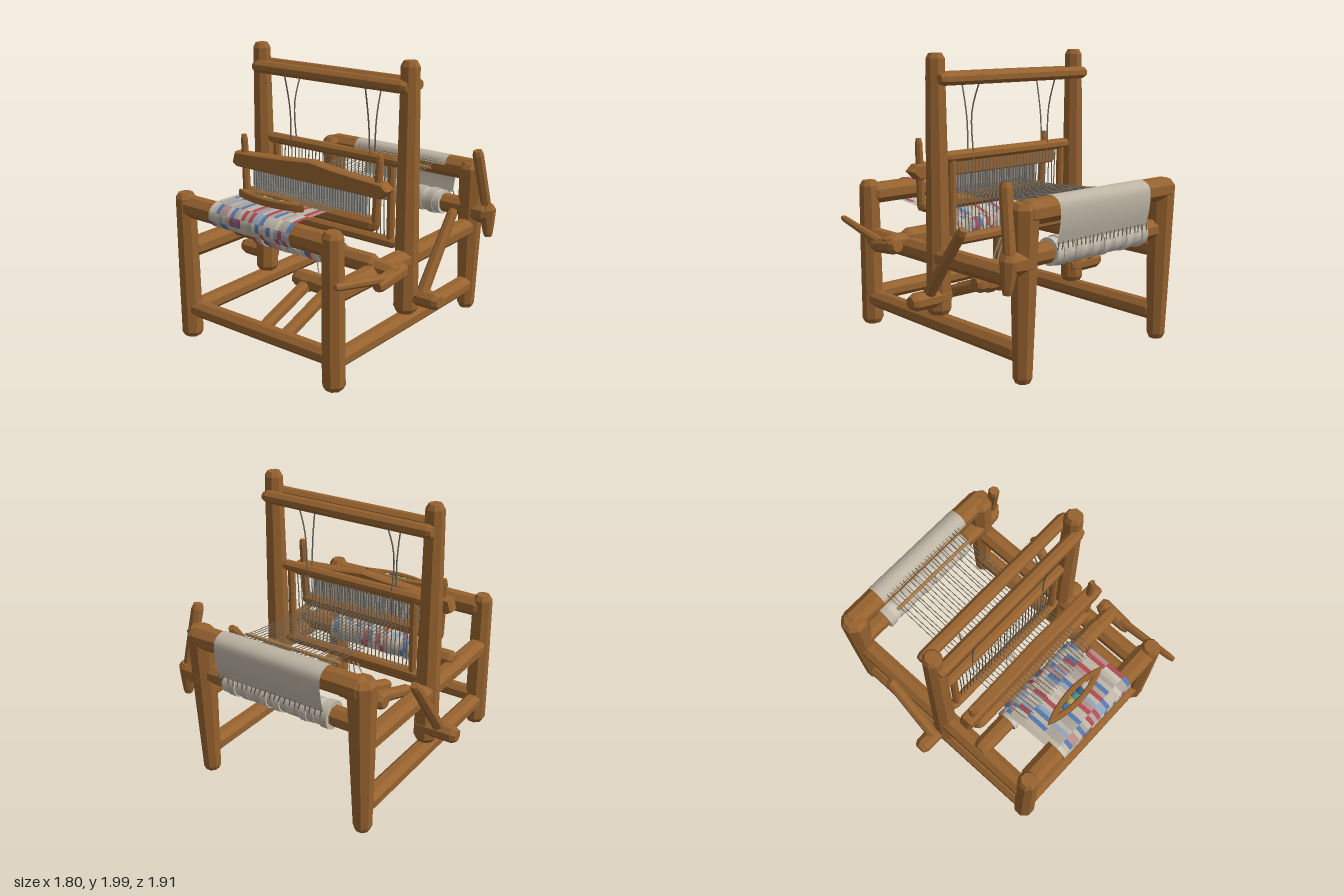
import * as THREE from 'three';

const V = (x, y, z) => new THREE.Vector3(x, y, z);
const mat = (color, extra = {}) => new THREE.MeshStandardMaterial({ color, flatShading: true, ...extra });
const thin = (color) => mat(color, { side: THREE.DoubleSide, flatShading: false });
const WOOD = mat(0x96622f);
const WOOD_PALE = mat(0xa87a48);
const CREAM = thin(0xbdb4a4);
const WARP = mat(0x6f675a);
const CLOTH = [CREAM, CREAM, thin(0xc9c1b4), thin(0xa9a298), CREAM,
  thin(0xb04a52), thin(0xb58a86), thin(0x5578ad), thin(0x93a2b8)];

export function createModel() {
  const root = new THREE.Group();
  let seed = 11;
  const rnd = () => (seed = (seed * 16807) % 2147483647) / 2147483647;
  const pick = () => CLOTH[Math.floor(rnd() * CLOTH.length)];

  const add = (name, geo, material, parent = root) => {
    const m = new THREE.Mesh(geo, material);
    m.name = name;
    parent.add(m);
    return m;
  };
  const group = (name) => {
    const g = new THREE.Group();
    g.name = name;
    root.add(g);
    return g;
  };

  // Eight-sided hewn timber with chamfered ends, from a to b
  const log = (name, a, b, r1, r2 = r1, parent = root, material = WOOD, sides = 8) => {
    const L = a.distanceTo(b), c = Math.min(0.035, L * 0.2), k = 1 / Math.cos(Math.PI / sides);
    const pts = [[0, 0], [r1 * 0.75, 0], [r1, c], [(r1 + r2) * 0.51, L * 0.5], [r2, L - c], [r2 * 0.7, L], [0, L]]
      .map(([r, y]) => new THREE.Vector2(r * k, y));
    const m = add(name, new THREE.LatheGeometry(pts, sides, Math.PI / sides), material, parent);
    m.position.copy(a);
    m.quaternion.setFromUnitVectors(V(0, 1, 0), b.clone().sub(a).normalize());
    return m;
  };
  const barX = (name, x, y, z, r, parent) => log(name, V(-x, y, z), V(x, y, z), r, r, parent);

  // Thin cord through a few points
  const cord = (name, pts, r, parent, material = WARP) =>
    add(name, new THREE.TubeGeometry(new THREE.CatmullRomCurve3(pts, false, 'centripetal'), pts.length * 3, r, 3), material, parent);

  // Strip of cloth of width w following [z, y] points
  const ribbon = (name, pts, x, w, material, parent) => {
    const g = new THREE.PlaneGeometry(w, 1, 1, pts.length - 1), p = g.attributes.position;
    for (let i = 0; i < p.count; i++) {
      const q = pts[Math.floor(i / 2)];
      p.setXYZ(i, x + p.getX(i), q.y, q.x);
    }
    g.computeVertexNormals();
    add(name, g, material, parent);
  };
  const path = (list, n) => new THREE.SplineCurve(list.map(([z, y]) => new THREE.Vector2(z, y))).getPoints(n);

  // Frame: posts, rails, pegs and heddle levers on both sides
  for (const s of [-1, 1]) {
    const x = 0.64 * s;
    log('frontPost', V(x, 0.01, 0.79), V(x, 1.07, 0.8), 0.073, 0.066);
    log('backPost', V(x, 0.01, -0.835), V(x, 1.14, -0.85), 0.06, 0.09);
    log('tallPost', V(x, 0.26, -0.01), V(x, 2, 0), 0.08, 0.06);
    log('lowerSideRail', V(x, 0.2, 0.78), V(x, 0.2, -0.82), 0.058, 0.064);
    log('middleSideRail', V(x, 0.66, 0.78), V(x, 0.66, -0.82), 0.066);
    log('sidePeg', V(0.58 * s, 0.385, -0.035), V(0.9 * s, 0.385, -0.035), 0.057);
    log('sideLever', V(0.755 * s, 0.36, 0.0), V(0.755 * s, 0.92, -0.41), 0.04, 0.034);
  }
  barX('frontLowerRail', 0.64, 0.225, 0.79, 0.056);
  barX('topBar', 0.66, 1.835, 0.055, 0.042);
  barX('topBar', 0.67, 1.835, -0.08, 0.042);

  // Front beam, cloth beam, back beam and warp beam
  barX('frontBeam', 0.64, 0.975, 0.79, 0.072);
  barX('clothBeam', 0.66, 0.72, 0.36, 0.062);
  barX('backBeam', 0.68, 1.08, -0.87, 0.075);
  barX('warpBeam', 0.68, 0.8, -0.83, 0.065);

  // Brake levers on the left side
  const brake = group('brakeLevers');
  log('clothBeamPin', V(0.6, 0.7, 0.36), V(0.82, 0.7, 0.36), 0.06, 0.05, brake);
  log('clothBeamHub', V(0.785, 0.66, 0.54), V(0.785, 0.7, 0.25), 0.045, 0.055, brake);
  log('clothBeamLever', V(0.775, 0.79, 0.95), V(0.785, 0.67, 0.36), 0.022, 0.032, brake);
  log('warpBeamPin', V(0.6, 0.78, -0.85), V(0.8, 0.78, -0.85), 0.08, 0.07, brake);
  log('warpBeamHub', V(0.79, 0.6, -0.86), V(0.77, 0.84, -0.86), 0.035, 0.06, brake);
  log('warpBeamLever', V(0.72, 1.26, -0.77), V(0.78, 0.7, -0.88), 0.04, 0.035, brake);

  // Woven cloth: striped strips over the front beam, down to the cloth roll
  const cloth = group('wovenCloth');
  const clothPath = path([[0.5, 1.058], [0.66, 1.06], [0.8, 1.058], [0.865, 1.01], [0.868, 0.95],
    [0.82, 0.895], [0.72, 0.88], [0.5, 0.85], [0.36, 0.807]], 32);
  const N = 22, W = 0.7 / N;
  for (let i = 0; i < N; i++) {
    const x = -0.35 + W * (i + 0.5);
    for (let j = 0; j < 32; j += 4) ribbon('clothStripe', clothPath.slice(j, j + 5), x, W, pick(), cloth);
    const r = 0.078 + rnd() * 0.01;
    for (let j = 0; j < 6; j++) {
      const wrap = add('clothRollStripe', new THREE.CylinderGeometry(r, r, W * 1.08, 4, 1, false, j * Math.PI / 3, Math.PI / 3), pick(), cloth);
      wrap.rotation.z = Math.PI / 2;
      wrap.position.set(x * 1.06, 0.72, 0.36);
    }
  }

  // Plain warp sheet over the back beam and the wound warp below it
  const back = group('backWarpSheet');
  ribbon('warpSheet', path([[-0.79, 1.1], [-0.82, 1.15], [-0.88, 1.163], [-0.94, 1.13], [-0.955, 1.06],
    [-0.945, 0.96], [-0.92, 0.86]], 24), 0.02, 0.84, CREAM, back);
  for (let i = 0; i < 16; i++) {
    const r = 0.086 + rnd() * 0.012;
    const w = add('woundWarp', new THREE.CylinderGeometry(r, r, 0.056, 16), CLOTH[i % 2 * 2], back);
    w.rotation.z = Math.PI / 2;
    w.position.set(-0.395 + i * 0.0527, 0.8, -0.83);
  }
  for (let i = 0; i < 22; i++) {
    const x = -0.39 + i * 0.039;
    cord('fringe', [V(x, 0.88, -0.93), V(x + rnd() * 0.02, 0.83, -0.936)], 0.005, back);
  }

  // Warp threads from back beam to cloth, with the lease stick
  const warp = group('warpThreads');
  for (let i = 0; i < 24; i++) {
    const x = -0.35 + i * 0.0313, j = (rnd() - 0.5) * 0.015;
    cord('warpThread', [V(x, 1.15, -0.85), V(x + j, 1.1, -0.7), V(x, 1.04, -0.06), V(x, 1.048, 0.28), V(x * 0.95, 1.058, 0.52)], 0.0035, warp);
  }
  log('leaseStick', V(-0.37, 1.09, -0.69), V(0.38, 1.09, -0.69), 0.012, 0.012, warp, WOOD_PALE);

  // Heddle frame hung between the tall posts
  const heddle = group('heddleFrame');
  barX('heddleTopBar', 0.58, 1.315, 0, 0.036, heddle);
  barX('heddleBottomBar', 0.56, 0.74, 0, 0.036, heddle);
  for (const s of [-1, 1]) {
    log('heddleSide', V(0.51 * s, 0.72, 0), V(0.51 * s, 1.32, 0), 0.026, 0.026, heddle);
    cord('hangingCord', [V(0.35 * s, 1.86, 0.1), V(0.345 * s, 1.55, 0.04), V(0.35 * s, 1.27, 0.03)], 0.006, heddle);
    cord('hangingCord', [V(0.35 * s, 1.86, -0.12), V(0.36 * s, 1.6, -0.03), V(0.345 * s, 1.27, -0.03)], 0.006, heddle);
  }
  for (let i = 0; i < 30; i++) {
    const x = -0.46 + i * 0.0317;
    cord('heddleString', [V(x, 1.3, 0), V(x + (rnd() - 0.5) * 0.01, 1.04, 0.01), V(x, 0.75, 0)], 0.0045, heddle);
  }

  // Beater: arched cap, lower bar, uprights and reed
  const beater = group('beater');
  const cap = new THREE.Shape();
  cap.moveTo(-0.67, 1.17);
  cap.lineTo(-0.64, 1.15);
  cap.lineTo(0.62, 1.15);
  cap.lineTo(0.67, 1.2);
  cap.lineTo(0.63, 1.235);
  cap.quadraticCurveTo(0.3, 1.25, 0.04, 1.285);
  cap.quadraticCurveTo(-0.3, 1.25, -0.65, 1.24);
  add('beaterCap', new THREE.ExtrudeGeometry(cap, { depth: 0.06, bevelSize: 0.01, bevelThickness: 0.018, bevelSegments: 1 })
    .translate(0, 0, 0.225), WOOD, beater);
  barX('beaterLowerBar', 0.58, 0.95, 0.26, 0.048, beater);
  for (const s of [-1, 1])
    log('beaterUpright', V(0.57 * s, 0.92, 0.265), V(0.595 * s, s > 0 ? 1.42 : 1.38, 0.255), 0.028, 0.024, beater);
  for (let i = 0; i < 44; i++)
    add('reedDent', new THREE.BoxGeometry(0.013, 0.19, 0.014).translate(-0.495 + i * 0.023, 1.075, 0.262), mat(0x8d8a86), beater);

  // Boat shuttle with wound bobbin
  const shuttle = group('shuttle');
  const hull = new THREE.Shape();
  hull.moveTo(-0.27, 0);
  hull.quadraticCurveTo(0, 0.105, 0.275, 0);
  hull.quadraticCurveTo(0, -0.105, -0.27, 0);
  const slot = new THREE.Path();
  slot.moveTo(-0.2, 0);
  slot.quadraticCurveTo(0, -0.066, 0.2, 0);
  slot.quadraticCurveTo(0, 0.066, -0.2, 0);
  hull.holes.push(slot);
  add('shuttleHull', new THREE.ExtrudeGeometry(hull, { depth: 0.035, bevelSize: 0.008, bevelThickness: 0.01, bevelSegments: 1 })
    .rotateX(-Math.PI / 2).translate(0, 1.085, 0.65), WOOD, shuttle);
  [0x3f6f9c, 0xb09a4a, 0x4a8a86, 0x35598c, 0xc0b8a8].forEach((c, i) => {
    const b = add('bobbinWinding', new THREE.SphereGeometry(0.03, 10, 8), mat(c), shuttle);
    b.scale.set(1.1, 0.75, 0.85);
    b.position.set(-0.1 + i * 0.05, 1.1, 0.65);
  });

  // Treadles, their roller and the tie cords
  const treadles = group('treadles');
  log('treadleRoller', V(-0.22, 0.345, 0.14), V(0.21, 0.345, 0.14), 0.064, 0.064, treadles);
  for (const x of [-0.12, 0.06]) log('rollerKnuckle', V(x - 0.05, 0.34, 0.14), V(x + 0.07, 0.34, 0.14), 0.07, 0.07, treadles);
  log('treadle', V(-0.09, 0.14, 0.7), V(-0.1, 0.35, 0.1), 0.045, 0.045, treadles);
  log('treadle', V(0.1, 0.13, 0.7), V(0.1, 0.35, 0.1), 0.045, 0.045, treadles);
  for (const [x, d] of [[0.0, 0.02], [0.03, 0.03], [-0.01, -0.04]])
    cord('tieCord', [V(0, 0.38, 0.14), V(x + d, 0.5, 0.1), V(x, 0.74, 0.02)], 0.006, treadles, CREAM);

  return root;
}
